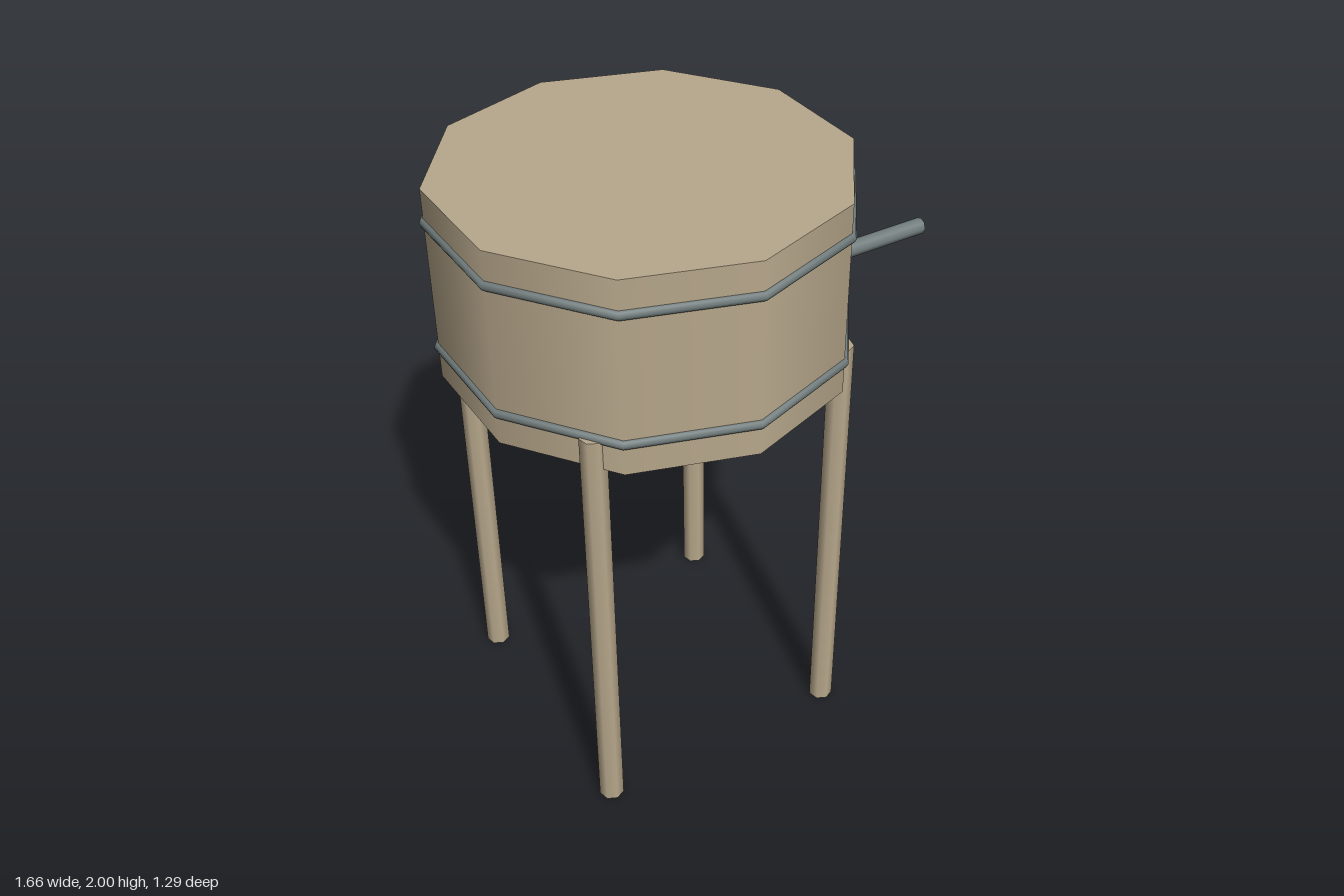
import * as THREE from 'three';

export function createModel() {
  const model = new THREE.Group();
  const wood = new THREE.MeshStandardMaterial({ color: 0xb8a88c });
  const metal = new THREE.MeshStandardMaterial({ color: 0x727d7d });
  const centreX = -0.22;

  const add = (name, geometry, material, x, y, z) => {
    const mesh = new THREE.Mesh(geometry, material);
    mesh.name = name;
    mesh.position.set(x, y, z);
    model.add(mesh);
    return mesh;
  };

  // Ten-sided closed tub with smooth sides, a corner facing the front
  add('tub', new THREE.CylinderGeometry(0.63, 0.63, 0.63, 10), wood, centreX, 1.685, 0);

  // Two metal hoops, their corners lined up with the tub
  const hoop = new THREE.TorusGeometry(0.627, 0.016, 8, 10).rotateX(Math.PI / 2).rotateY(Math.PI / 2);
  add('upperHoop', hoop, metal, centreX, 1.893, 0);
  add('lowerHoop', hoop, metal, centreX, 1.474, 0);

  // Four seven-sided legs overlapping the tub's lower wall
  const leg = new THREE.CylinderGeometry(0.04, 0.04, 1.47, 7);
  for (const [side, sx] of [['Left', 1], ['Right', -1]]) {
    for (const [end, sz] of [['front', 1], ['back', -1]]) {
      add(end + side + 'Leg', leg, wood, centreX + sx * 0.42, 0.735, sz * 0.423);
    }
  }

  // Outlet pipe through the side wall
  const pipe = new THREE.CylinderGeometry(0.028, 0.028, 0.53, 8).rotateZ(Math.PI / 2);
  add('outletPipe', pipe, metal, 0.565, 1.478, 0);

  return model;
}
